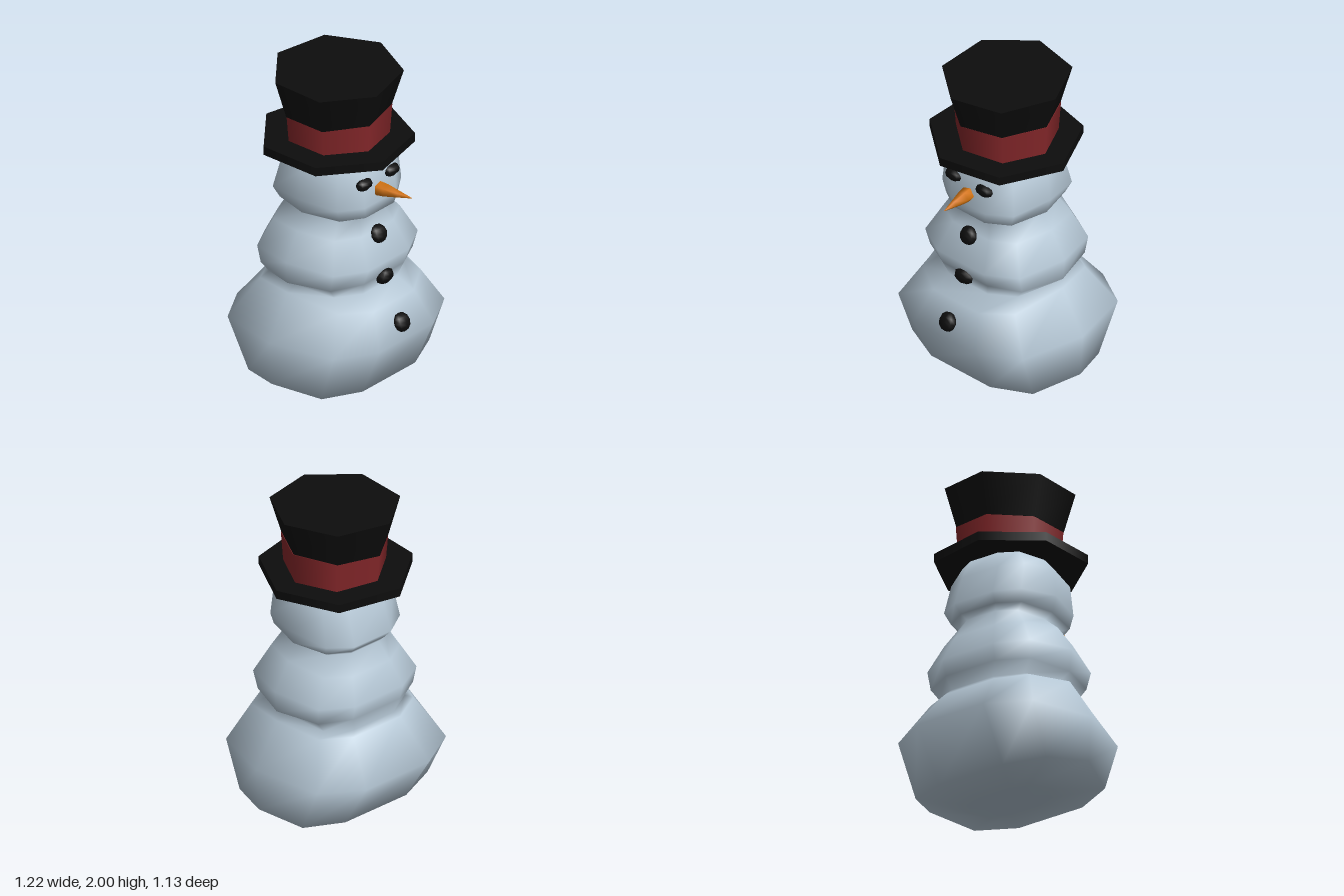
import * as THREE from 'three';

const mat = (name, color) => new THREE.MeshStandardMaterial({ name, color });

// Ten-sided ring, as fractions of half width (x) and half depth (z)
const quarter = [[1, 0], [0.82, 0.74], [0.4, 1]];
const RING = [
  ...quarter,
  ...[2, 1, 0].map(i => [-quarter[i][0], quarter[i][1]]),
  ...[1, 2].map(i => [-quarter[i][0], -quarter[i][1]]),
  ...[2, 1].map(i => [quarter[i][0], -quarter[i][1]]),
];

// Cross-sections: half width, front z, back z, y at the sides, y at the front, y at the back
const SECTIONS = [
  [0.28, 0.16, 0.14, 0.015, 0.015, 0.015],
  [0.59, 0.40, 0.37, 0.11, 0.055, 0.05],
  [0.61, 0.54, 0.57, 0.39, 0.37, 0.37],
  [0.45, 0.44, 0.38, 0.665, 0.58, 0.62],
  [0.38, 0.33, 0.355, 0.69, 0.65, 0.65],
  [0.45, 0.36, 0.375, 0.73, 0.735, 0.74],
  [0.463, 0.40, 0.40, 0.87, 0.84, 0.84],
  [0.36, 0.31, 0.33, 1.04, 1.02, 1.0],
  [0.265, 0.26, 0.27, 1.12, 1.12, 1.12],
  [0.32, 0.33, 0.30, 1.15, 1.15, 1.155],
  [0.35, 0.335, 0.345, 1.25, 1.22, 1.21],
  [0.33, 0.32, 0.28, 1.43, 1.41, 1.40],
  [0.25, 0.24, 0.24, 1.52, 1.52, 1.52],
];

// Smooth skin over the sections, closed at both ends
function bodyGeometry() {
  const pos = [], idx = [], n = RING.length;
  for (const [w, front, back, ySide, yFront, yBack] of SECTIONS) {
    for (const [x, z] of RING) {
      const yEnd = z > 0 ? yFront : yBack;
      pos.push(x * w, THREE.MathUtils.lerp(ySide, yEnd, Math.abs(z)), z * (z > 0 ? front : back));
    }
  }
  for (let i = 0; i < SECTIONS.length - 1; i++) {
    for (let j = 0; j < n; j++) {
      const a = i * n + j, b = i * n + (j + 1) % n;
      idx.push(a, a + n, b, b, a + n, b + n);
    }
  }
  const bottom = pos.length / 3, top = bottom + 1, last = (SECTIONS.length - 1) * n;
  pos.push(0, 0, 0.03, 0, 1.52, 0);
  for (let j = 0; j < n; j++) {
    const k = (j + 1) % n;
    idx.push(bottom, j, k, top, last + k, last + j);
  }
  const g = new THREE.BufferGeometry();
  g.setAttribute('position', new THREE.Float32BufferAttribute(pos, 3));
  g.setIndex(idx);
  g.computeVertexNormals();
  return g;
}

// Seven-sided hat section whose ends may tilt: y gains tx * x + tz * z
function hatSection(rTop, rBottom, yTop, yBottom, tiltTop = [0, 0], tiltBottom = [0, 0]) {
  const g = new THREE.CylinderGeometry(rTop, rBottom, yTop - yBottom, 7, 1, false, Math.PI / 2);
  g.translate(0, (yTop + yBottom) / 2, 0);
  const p = g.attributes.position, mid = (yTop + yBottom) / 2;
  for (let i = 0; i < p.count; i++) {
    const [tx, tz] = p.getY(i) > mid ? tiltTop : tiltBottom;
    p.setY(i, p.getY(i) + tx * p.getX(i) + tz * p.getZ(i));
  }
  return g;
}

export function createModel() {
  const model = new THREE.Group();
  model.name = 'snowman';
  const snow = mat('snow', 0xb6c8d6);
  const black = mat('black', 0x0d0d0d);
  const red = mat('red', 0x85272a);
  const orange = mat('orange', 0xd4740f);

  const add = (name, geometry, material, x = 0, y = 0, z = 0) => {
    const mesh = new THREE.Mesh(geometry, material);
    mesh.name = name;
    mesh.position.set(x, y, z);
    model.add(mesh);
    return mesh;
  };

  add('body', bodyGeometry(), snow);

  // Top hat: brim, band and flared, slightly tilted crown
  const seam = [0.055, 0], lid = [0.035, -0.025];
  add('hatBrim', hatSection(0.465, 0.465, 1.565, 1.51), black, -0.012);
  add('hatBand', hatSection(0.325, 0.31, 1.745, 1.55, seam), red, -0.002);
  add('hatCrown', hatSection(0.395, 0.325, 1.982, 1.745, lid, seam), black, -0.005);

  // Coal lumps: x, y, z, half width, half height, backward tilt
  const coal = (name, x, y, z, w, h, tilt) => {
    const lump = add(name, new THREE.SphereGeometry(1, 8, 6), black, x, y, z);
    lump.scale.set(w, h, 0.04);
    lump.rotation.x = tilt;
  };
  coal('rightEye', -0.128, 1.372, 0.318, 0.064, 0.038, -0.1);
  coal('leftEye', 0.115, 1.372, 0.318, 0.064, 0.038, -0.1);
  coal('topButton', -0.005, 0.995, 0.325, 0.062, 0.058, -0.4);
  coal('middleButton', -0.002, 0.725, 0.37, 0.068, 0.05, 0.25);
  coal('bottomButton', -0.005, 0.465, 0.505, 0.062, 0.06, -0.4);

  // Carrot nose, its tip drifting a little to the side
  const nose = new THREE.CylinderGeometry(0.002, 0.05, 0.27, 5, 3);
  nose.rotateX(Math.PI / 2);
  nose.rotateZ(0.3);
  const p = nose.attributes.position;
  for (let i = 0; i < p.count; i++) {
    const t = (p.getZ(i) + 0.135) / 0.27;
    const fat = 1 + 0.25 * Math.sin(Math.PI * t);
    p.setXY(i, p.getX(i) * fat + 0.028 * t, p.getY(i) * fat + 0.01 * t);
  }
  nose.computeVertexNormals();
  add('nose', nose, orange, -0.008, 1.295, 0.427);

  return model;
}
